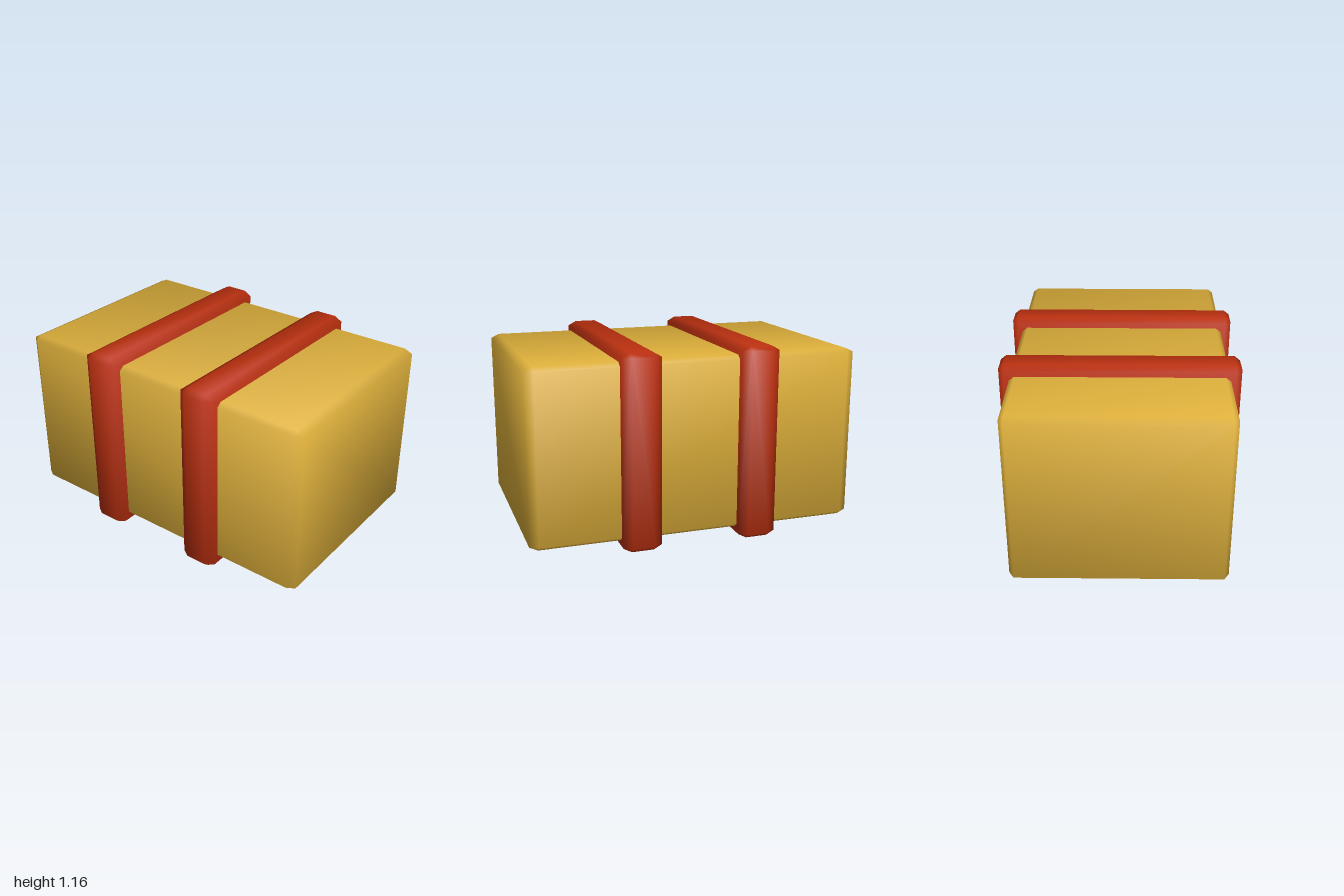
import * as THREE from 'three';
import { ConvexGeometry } from 'three/addons/geometries/ConvexGeometry.js';
import { mergeVertices } from 'three/addons/utils/BufferGeometryUtils.js';

// Box with one-step chamfers on every edge and soft blended normals.
function chamferBox(half, bevel) {
  const points = [];
  for (const sx of [-1, 1]) for (const sy of [-1, 1]) for (const sz of [-1, 1]) {
    for (let face = 0; face < 3; face++) {
      const p = [sx, sy, sz].map((s, a) => s * (a === face ? half[a] : half[a] - bevel[a]));
      points.push(new THREE.Vector3(...p));
    }
  }
  const raw = new ConvexGeometry(points);
  raw.deleteAttribute('normal');
  const geometry = mergeVertices(raw);
  geometry.computeVertexNormals();

  // Each corner leans mostly along its own face, partly towards its neighbours.
  const position = geometry.attributes.position;
  const normal = new THREE.Vector3();
  for (let i = 0; i < position.count; i++) {
    const n = half.map((h, a) => {
      const v = position.getComponent(i, a);
      return Math.sign(v) * (Math.abs(v) > h - 0.001 ? 1 : 0.39);
    });
    normal.set(...n).normalize();
    geometry.attributes.normal.setXYZ(i, normal.x, normal.y, normal.z);
  }
  return geometry;
}

export function createModel() {
  const group = new THREE.Group();
  group.name = 'strappedBale';

  const gold = new THREE.MeshStandardMaterial({ color: 0xdeb03b });
  gold.name = 'gold';
  const red = new THREE.MeshStandardMaterial({ color: 0xbb300f });
  red.name = 'red';

  // Main block, raised slightly off the ground by the straps
  const bale = new THREE.Mesh(chamferBox([1, 0.527, 0.635], [0.05, 0.024, 0.03]), gold);
  bale.name = 'bale';
  bale.position.y = 0.584;
  group.add(bale);

  // Two straps wrapped around the block
  const strapGeometry = chamferBox([0.116, 0.582, 0.7], [0.05, 0.027, 0.033]);
  for (const [name, x] of [['rightStrap', -0.366], ['leftStrap', 0.35]]) {
    const strap = new THREE.Mesh(strapGeometry, red);
    strap.name = name;
    strap.position.set(x, 0.582, 0);
    group.add(strap);
  }
  return group;
}
